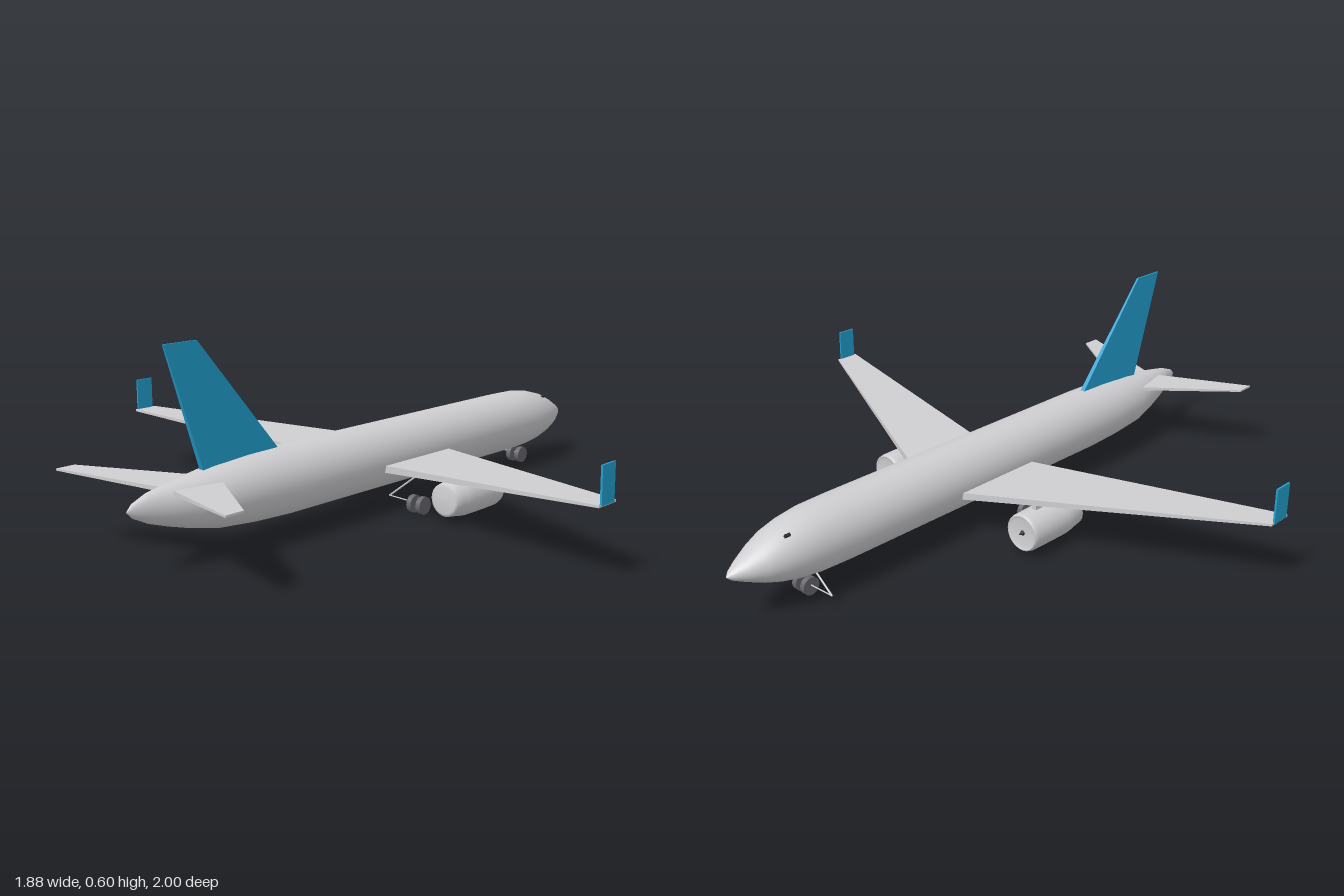
import * as THREE from 'three';

const paint = (name, color) => {
  const m = new THREE.MeshStandardMaterial({ color });
  m.name = name;
  return m;
};
const lerp = THREE.MathUtils.lerp;

export function createModel() {
  const plane = new THREE.Group();
  plane.name = 'airliner';
  const grey = paint('body grey', 0xcfcfd2);
  const blue = paint('tail blue', 0x22a0d0);
  const tyre = paint('tyre grey', 0x66666c);
  const dark = paint('glass dark', 0x2c2e33);

  const add = (name, geometry, material, x = 0, y = 0, z = 0, parent = plane) => {
    const mesh = new THREE.Mesh(geometry, material);
    mesh.name = name;
    mesh.position.set(x, y, z);
    parent.add(mesh);
    return mesh;
  };

  // Tapered panel: root and tip are [span, height, leading z, trailing z, thickness]
  const panel = (root, tip, side = 1) => {
    const g = new THREE.BoxGeometry(1, 1, 1);
    const p = g.attributes.position;
    for (let i = 0; i < p.count; i++) {
      const t = 0.5 + side * p.getX(i);
      const [s, h, le, te, thick] = root.map((v, k) => lerp(v, tip[k], t));
      p.setXYZ(i, side * s, h + p.getY(i) * thick, lerp(le, te, p.getZ(i) + 0.5));
    }
    g.computeVertexNormals();
    return g;
  };

  // Thin round bar between two points
  const bar = (name, a, b, radius, parent) => {
    const from = new THREE.Vector3(...a), to = new THREE.Vector3(...b);
    const dir = to.clone().sub(from);
    const mesh = add(name, new THREE.CylinderGeometry(radius, radius, dir.length(), 8), grey, 0, 0, 0, parent);
    mesh.position.copy(from).add(to).multiplyScalar(0.5);
    mesh.quaternion.setFromUnitVectors(new THREE.Vector3(0, 1, 0), dir.normalize());
  };

  // Fuselage rings from nose to tail: [z, centre height, half width, half height]
  const rings = [
    [-1, 0.155, 0, 0], [-0.985, 0.156, 0.016, 0.014], [-0.95, 0.157, 0.039, 0.032],
    [-0.9, 0.159, 0.064, 0.056], [-0.85, 0.162, 0.081, 0.076], [-0.79, 0.163, 0.092, 0.091],
    [-0.72, 0.164, 0.099, 0.1], [-0.62, 0.164, 0.102, 0.102], [0.45, 0.164, 0.102, 0.102],
    [0.58, 0.165, 0.098, 0.098], [0.71, 0.166, 0.088, 0.088], [0.8, 0.17, 0.066, 0.072],
    [0.87, 0.175, 0.046, 0.057], [0.93, 0.18, 0.026, 0.042], [0.98, 0.183, 0.01, 0.02], [1, 0.183, 0, 0],
  ];
  const hull = new THREE.LatheGeometry(rings.map(([z, , w]) => new THREE.Vector2(w, z)), 36);
  hull.rotateX(Math.PI / 2);
  const hp = hull.attributes.position;
  for (let i = 0; i < hp.count; i++) {
    const [, cy, w, h] = rings[i % rings.length];
    hp.setY(i, cy + (w ? hp.getY(i) * h / w : 0));
  }
  hull.computeVertexNormals();
  add('fuselage', hull, grey);

  // Fin: a panel turned upright
  const fin = panel([0.21, 0, 0.422, 0.733, 0.018], [0.604, 0, 0.75, 0.863, 0.006]);
  fin.rotateZ(Math.PI / 2);
  add('fin', fin, blue);

  // Engine outlines, front to back
  const nacelle = [
    [0, -0.158], [0.046, -0.158], [0.052, -0.165], [0.057, -0.163], [0.06, -0.15], [0.061, -0.1],
    [0.061, -0.01], [0.058, 0.015], [0.054, 0.035], [0.051, 0.06], [0.042, 0.065], [0, 0.067],
  ];
  const engineShape = new THREE.LatheGeometry(nacelle.map(([r, z]) => new THREE.Vector2(r, z)), 32);
  engineShape.rotateX(Math.PI / 2);
  const spinnerShape = new THREE.ConeGeometry(0.009, 0.02, 16);
  spinnerShape.rotateX(-Math.PI / 2);

  for (const side of [1, -1]) {
    const label = side > 0 ? 'left' : 'right';
    add(label + 'Wing', panel([0, 0.136, -0.255, 0.083, 0.024], [0.94, 0.214, 0.165, 0.247, 0.007], side), grey);
    add(label + 'Winglet', new THREE.BoxGeometry(0.006, 0.108, 0.062), blue, side * 0.939, 0.267, 0.207);
    add(label + 'Tailplane', panel([0, 0.212, 0.685, 0.858, 0.013], [0.35, 0.234, 0.91, 0.97, 0.006], side), grey);

    const engine = new THREE.Group();
    engine.name = label + 'Engine';
    engine.position.set(side * 0.3, 0.074, 0);
    plane.add(engine);
    add('nacelle', engineShape, grey, 0, 0, 0, engine);
    add('spinner', spinnerShape, dark, 0, 0, -0.166, engine);
    add('pylon', new THREE.BoxGeometry(0.016, 0.05, 0.15), grey, 0, 0.067, -0.035, engine);

    // Cockpit window
    const pane = add(label + 'CockpitWindow', new THREE.BoxGeometry(0.008, 0.008, 0.018), dark, side * 0.052, 0.236, -0.83);
    pane.rotation.z = -side * 0.6;
  }

  // Landing gear: paired wheels with a slanted strut and a cross bar
  const wheelShape = new THREE.CylinderGeometry(0.028, 0.028, 0.017, 20);
  wheelShape.rotateZ(Math.PI / 2);
  for (const [name, x, z] of [['noseGear', 0, -0.742], ['leftGear', 0.165, 0.02], ['rightGear', -0.165, 0.02]]) {
    const gear = new THREE.Group();
    gear.name = name;
    gear.position.set(x, 0, z);
    plane.add(gear);
    for (const s of [1, -1]) add('wheel', wheelShape, tyre, s * 0.018, 0.028, 0, gear);
    bar('strut', [-0.118, 0.036, 0], [0, 0.124, 0], 0.003, gear);
    bar('axle', [-0.118, 0.036, 0], [0.02, 0.03, 0], 0.002, gear);
  }
  return plane;
}
